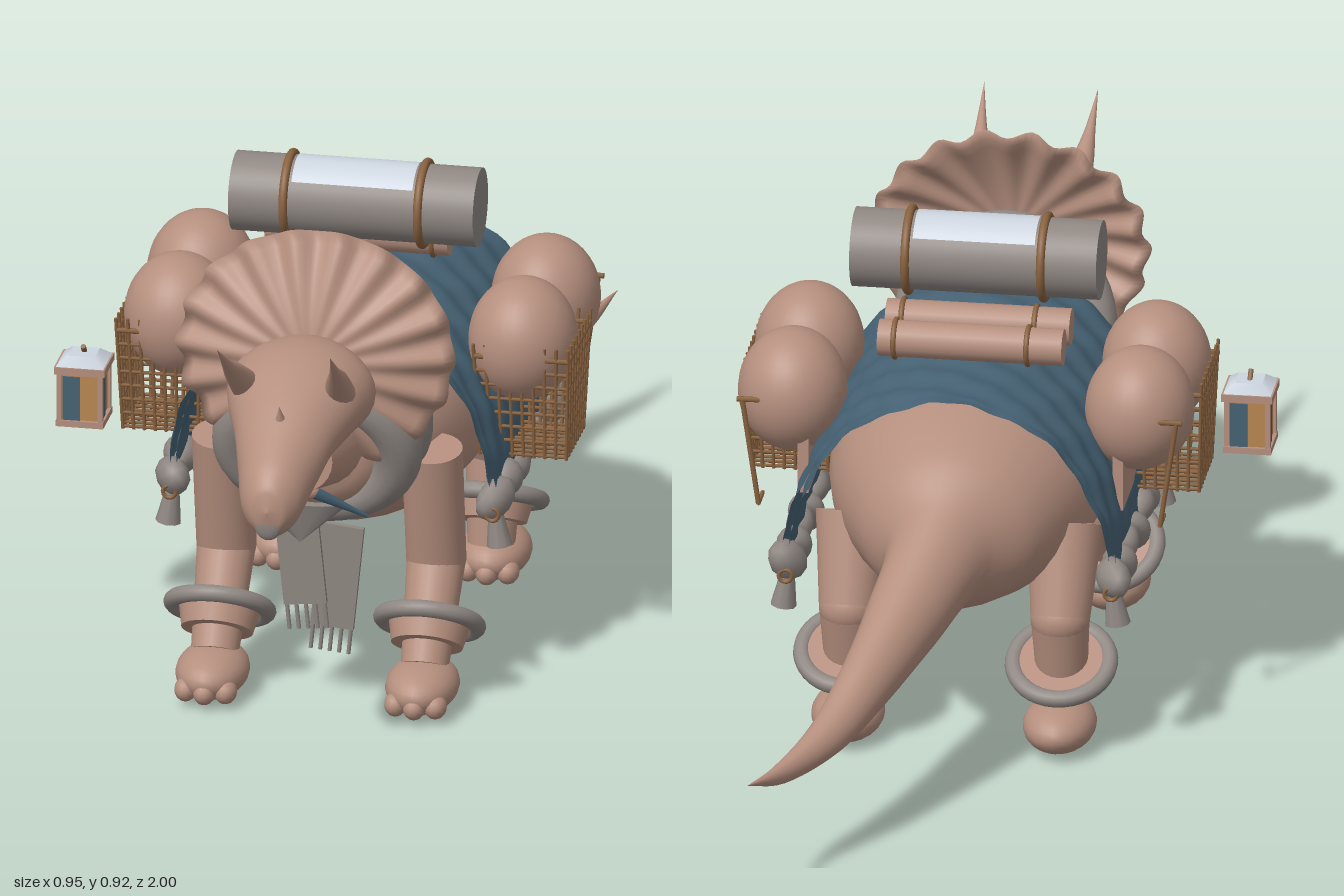
import * as THREE from 'three';

const V = (x, y, z) => new THREE.Vector3(x, y, z);
const CX = 0.05; // centre line of the animal

export function createModel() {
  const root = new THREE.Group();
  const mat = (name, color, side = THREE.FrontSide) => {
    const m = new THREE.MeshStandardMaterial({ color, side });
    m.name = name;
    return m;
  };
  const skin = mat('clay brown skin', 0xb58f7e);
  const blue = mat('blanket blue', 0x466274, THREE.DoubleSide);
  const grey = mat('wool grey', 0x8f8782, THREE.DoubleSide);
  const wicker = mat('wicker brown', 0x8a6340);
  const pale = mat('pale cloth', 0xcdd5df, THREE.DoubleSide);
  const amber = mat('amber glass', 0xb98752);

  const add = (name, geo, m, p = [0, 0, 0], r = [0, 0, 0], s = [1, 1, 1]) => {
    const mesh = new THREE.Mesh(geo, m);
    mesh.name = name;
    mesh.position.set(...p);
    mesh.rotation.set(...r);
    mesh.scale.set(...s);
    root.add(mesh);
    return mesh;
  };
  const ball = (name, m, p, s, seg = 24) =>
    add(name, new THREE.SphereGeometry(1, seg, Math.ceil(seg * 0.7)), m, p, [0, 0, 0], s);
  // tapered rod from a to b
  const rod = (name, m, a, b, ra, rb = ra, seg = 6) => {
    const d = b.clone().sub(a);
    const mesh = add(name, new THREE.CylinderGeometry(rb, ra, d.length(), seg), m);
    mesh.position.copy(a).addScaledVector(d, 0.5);
    mesh.quaternion.setFromUnitVectors(V(0, 1, 0), d.normalize());
    return mesh;
  };
  // skin of closed loops: fn(u, v) gives a point, v wraps around
  const grid = (nu, nv, fn) => {
    const pos = [], idx = [];
    for (let i = 0; i <= nu; i++) for (let j = 0; j < nv; j++) pos.push(...fn(i / nu, j / nv));
    for (let i = 0; i < nu; i++) for (let j = 0; j < nv; j++) {
      const k = (j + 1) % nv, a = i * nv + j, b = i * nv + k, c = a + nv, d = b + nv;
      idx.push(a, b, c, b, d, c);
    }
    const g = new THREE.BufferGeometry();
    g.setAttribute('position', new THREE.Float32BufferAttribute(pos, 3));
    g.setIndex(idx);
    g.computeVertexNormals();
    return g;
  };
  // smooth loft through elliptical sections [x, y, z, rx, ry], back to front
  const loft = (rows, nu = 48, nv = 32) => {
    const path = new THREE.CatmullRomCurve3(rows.map(r => V(r[0], r[1], r[2])), false, 'centripetal');
    const radii = new THREE.CatmullRomCurve3(rows.map(r => V(r[3], r[4], r[2])), false, 'centripetal');
    return grid(nu, nv, (u, v) => {
      const p = path.getPoint(u), q = radii.getPoint(u), a = v * Math.PI * 2;
      return [p.x + Math.max(0, q.x) * Math.cos(a), p.y + Math.max(0, q.y) * Math.sin(a), p.z];
    });
  };

  // body with curved tail
  add('bodyAndTail', loft([
    [0.31, 0.245, -1, 0, 0], [0.265, 0.222, -0.88, 0.018, 0.02], [0.2, 0.245, -0.75, 0.036, 0.037],
    [0.148, 0.3, -0.62, 0.05, 0.058], [0.1, 0.365, -0.47, 0.07, 0.08], [0.06, 0.43, -0.33, 0.095, 0.105],
    [CX, 0.45, -0.25, 0.165, 0.15], [CX, 0.46, -0.1, 0.235, 0.195], [CX, 0.465, 0.1, 0.26, 0.21],
    [CX, 0.47, 0.3, 0.23, 0.19], [CX, 0.48, 0.44, 0.17, 0.14], [CX, 0.5, 0.54, 0.1, 0.09], [CX, 0.51, 0.57, 0, 0],
  ], 72), skin);
  rod('neck', skin, V(CX, 0.52, 0.42), V(CX, 0.54, 0.68), 0.12, 0.06, 24);

  // head with rounded beak
  add('head', loft([
    [CX, 0.67, 0.56, 0, 0], [CX, 0.67, 0.58, 0.09, 0.075], [CX, 0.672, 0.65, 0.135, 0.095],
    [CX, 0.67, 0.73, 0.125, 0.092], [CX, 0.645, 0.82, 0.095, 0.08], [CX, 0.6, 0.9, 0.072, 0.076],
    [CX, 0.568, 0.96, 0.055, 0.068], [CX, 0.56, 0.99, 0.032, 0.042], [CX, 0.56, 1, 0, 0],
  ]), skin);
  ball('beakPatch', grey, [CX, 0.535, 0.983], [0.027, 0.034, 0.012], 16);
  add('noseHorn', new THREE.ConeGeometry(0.014, 0.045, 10), skin, [CX, 0.7, 0.87], [0.35, 0, 0]);

  // scalloped frill, a ribbed dish with a thin rim
  add('frill', grid(24, 144, (u, v) => {
    const t = 1 - Math.abs(2 * u - 1), a = v * Math.PI * 2;
    const wave = Math.cos(18 * a), r = t * (1 + 0.022 * t * wave);
    const z = 0.6 - 0.072 * t * t - 0.022 * t * Math.sin(a) + 0.01 * t * t * wave;
    return [CX + 0.256 * r * Math.cos(a), 0.7 + 0.224 * r * Math.sin(a), z + (u < 0.5 ? -0.03 * (1 - t * 0.7) : 0)];
  }), skin);

  for (const s of [-1, 1]) {
    // brow horns
    const horn = new THREE.CatmullRomCurve3([V(CX + s * 0.085, 0.7, 0.74), V(CX + s * 0.095, 0.755, 0.81),
      V(CX + s * 0.1, 0.79, 0.86), V(CX + s * 0.105, 0.845, 0.93)]);
    add('browHorn', grid(14, 14, (u, v) => {
      const p = horn.getPoint(u), a = v * Math.PI * 2, r = 0.03 * (1 - u);
      return [p.x + r * Math.cos(a), p.y + r * Math.sin(a) * 0.8, p.z - r * Math.sin(a) * 0.6];
    }), skin);

    // legs: hip, knee, ankle as [y, z], then foot centre, cuff centre and thigh radius
    const legs = [
      { name: 'front', hip: [0.48, 0.425], knee: [0.25, 0.385], ankle: [0.08, 0.495], foot: 0.515, cuff: [0.15, 0.448], r: 0.056 },
      { name: 'hind', hip: [0.42, -0.1], knee: [0.26, -0.165], ankle: [0.08, -0.135], foot: -0.17, cuff: [0.165, -0.15], r: 0.07 },
    ];
    for (const L of legs) {
      const x = CX + s * 0.195, at = q => V(x, q[0], q[1]);
      rod(L.name + 'Thigh', skin, at(L.hip), at(L.knee), L.r, 0.055, 24);
      ball(L.name + 'Knee', skin, [x, ...L.knee], [0.055, 0.052, 0.055]);
      rod(L.name + 'Shin', skin, at(L.knee), at(L.ankle), 0.054, 0.044, 24);
      ball(L.name + 'Foot', skin, [x, 0.053, L.foot], [0.067, 0.048, 0.098]);
      for (const k of [-1, 0, 1])
        ball(L.name + 'Toe', skin, [x + k * 0.037, 0.037, L.foot + 0.078 - Math.abs(k) * 0.012], [0.021, 0.023, 0.027], 14);
      // tilted ankle cuff and ring
      const d = L.name === 'front' ? V(0, -0.8, 0.6) : V(0, -0.88, 0.47), c = at(L.cuff);
      rod(L.name + 'Cuff', skin, c.clone().addScaledVector(d, -0.01), c.clone().addScaledVector(d, 0.045), 0.078, 0.066, 28);
      const ring = add(L.name + 'CuffRing', new THREE.TorusGeometry(0.088, 0.016, 12, 36), grey, c.toArray());
      ring.quaternion.setFromUnitVectors(V(0, 0, 1), d.clone().normalize());
    }

    // lumpy wool trim along the blanket hem
    const hx = CX + s * 0.3;
    add('woolTrim', grid(70, 16, (u, v) => {
      const a = v * Math.PI * 2, w = Math.sin(u * 47) + Math.sin(u * 29 + 2);
      const r = (0.025 + 0.005 * w) * Math.min(1, 8 * u, 8 * (1 - u));
      return [hx + r * Math.cos(a), 0.367 + 0.008 * Math.sin(u * 24) + r * 1.1 * Math.sin(a), -0.24 + 0.61 * u];
    }), grey);
    // corner tufts and tassels
    for (const z of [0.36, -0.215]) {
      const tuft = add('cornerTuft', new THREE.IcosahedronGeometry(0.043, 1), grey, [hx, 0.365, z], [0.3, 0, 0.4], [1.1, 0.85, 0.7]);
      tuft.rotation.y = s;
      add('tasselBead', new THREE.TorusGeometry(0.012, 0.004, 8, 14), wicker, [hx, 0.345, z + Math.sign(z) * 0.032]);
      rod('tassel', grey, V(hx, 0.34, z), V(hx + s * 0.008, 0.275, z), 0.013, 0.024, 9);
    }

    // round bundles in the panniers
    const bx = CX + s * 0.32;
    for (const z of [0.2, -0.015]) ball('bundle', skin, [bx, 0.62, z], [0.1, 0.115, 0.108], 32);
    add('innerPanel', new THREE.BoxGeometry(0.02, 0.14, 0.16), skin, [CX + s * 0.29, 0.515, -0.01]);

    // wicker basket: tapered square cage of rods
    const corner = (i, y) => {
      const k = (y - 0.41) / 0.22, hw = 0.08 + 0.008 * k, hz = 0.08 + 0.026 * k;
      const sx = [1, 1, -1, -1][i % 4], sz = [1, -1, -1, 1][i % 4];
      return V(bx + s * 0.012 + s * sx * hw, y, 0.18 + sz * hz);
    };
    for (let i = 0; i < 4; i++) {
      for (let k = 0; k <= 7; k++) {
        const y = 0.415 + k * 0.028;
        if (i !== 2 || k < 6) rod('basketBand', wicker, corner(i, y), corner(i + 1, y), k === 7 ? 0.005 : 0.0032);
      }
      for (let k = 0; k < 8; k++) {
        const f = k / 8, top = i === 2 ? 0.56 : 0.635;
        rod('basketStake', wicker, corner(i, 0.41).lerp(corner(i + 1, 0.41), f), corner(i, top).lerp(corner(i + 1, top), f), 0.0035);
      }
    }
    for (let k = 1; k < 8; k++)
      rod('basketFloor', wicker, corner(0, 0.415).lerp(corner(1, 0.415), k / 8), corner(3, 0.415).lerp(corner(2, 0.415), k / 8), 0.0035);
    // rear carrying hook
    const hk = CX + s * 0.4;
    rod('rearHook', wicker, V(hk, 0.63, -0.105), V(hk - s * 0.03, 0.425, -0.105), 0.005);
    rod('rearHookTop', wicker, V(hk + s * 0.01, 0.63, -0.105), V(hk - s * 0.06, 0.63, -0.105), 0.005);
    rod('rearHookFoot', wicker, V(hk - s * 0.03, 0.425, -0.105), V(hk - s * 0.03, 0.425, -0.05), 0.004);
  }

  // arched saddle blanket with slight wrinkles
  add('blanket', grid(40, 96, (u, v) => {
    const outer = v < 0.5, a = Math.PI * (outer ? v / 0.495 : (1 - v) / 0.5);
    const w = 0.003 * Math.sin(u * 40 + a * 9) + 0.002 * Math.sin(a * 23 - u * 17), o = (outer ? 0 : -0.012) + w;
    return [CX + (0.305 + o) * Math.cos(a), 0.372 + (0.338 + o) * Math.sin(a), -0.235 + 0.615 * u];
  }), blue);

  // log rolls and bedroll strapped on top
  for (const z of [0.047, -0.052]) {
    add('logRoll', new THREE.CylinderGeometry(0.034, 0.034, 0.34, 20), skin, [0.035, 0.745, z], [0, 0, Math.PI / 2]);
    for (const x of [-0.07, 0.175])
      add('logStrap', new THREE.TorusGeometry(0.035, 0.005, 8, 20), wicker, [x, 0.745, z], [0, Math.PI / 2, 0]);
  }
  add('bedroll', new THREE.CylinderGeometry(0.073, 0.073, 0.455, 36), grey, [0.05, 0.843, 0.135], [0, 0, Math.PI / 2]);
  add('bedrollPatch', new THREE.CylinderGeometry(0.0745, 0.0745, 0.225, 24, 1, true, Math.PI / 2 - 0.9, 1.8), pale,
    [0.05, 0.843, 0.135], [0, 0, Math.PI / 2]);
  for (const x of [-0.075, 0.175])
    add('bedrollStrap', new THREE.TorusGeometry(0.076, 0.008, 10, 36), wicker, [x, 0.843, 0.135], [0, Math.PI / 2, 0]);

  // scarf: two wraps, bib point, knot and hanging ends
  add('scarfWrap', new THREE.TorusGeometry(0.17, 0.037, 16, 48), grey, [CX, 0.56, 0.475], [0.28, 0, 0], [1, 1.02, 1]);
  add('scarfLowerWrap', new THREE.TorusGeometry(0.15, 0.045, 16, 48), grey, [CX, 0.51, 0.52], [0.32, 0, 0], [1, 0.85, 1]);
  add('scarfPoint', new THREE.ConeGeometry(0.09, 0.08, 12), grey, [CX - 0.03, 0.36, 0.53], [Math.PI, 0, 0], [1, 1, 0.25]);
  for (const [x, y, h, w, tilt, z] of [[0.02, 0.275, 0.16, 0.08, 0.1, 0.515], [0.085, 0.25, 0.2, 0.08, -0.1, 0.505]]) {
    const end = new THREE.Group();
    end.name = 'scarfEnd';
    end.position.set(x, y, z);
    end.rotation.z = tilt;
    end.add(new THREE.Mesh(new THREE.BoxGeometry(w, h, 0.012), grey));
    for (let k = 0; k < 5; k++) {
      const f = new THREE.Mesh(new THREE.CylinderGeometry(0.004, 0.004, 0.05, 6), grey);
      f.name = 'fringe';
      f.position.set((k - 2) * w * 0.22, -h / 2 - 0.024, 0);
      end.add(f);
    }
    root.add(end);
  }
  ball('neckKnot', skin, [CX, 0.468, 0.645], [0.03, 0.018, 0.02], 16);
  for (const s of [-1, 1])
    rod('neckCord', blue, V(CX + s * 0.02, 0.465, 0.645), V(CX + s * 0.11, 0.408, 0.6), 0.012, 0.003, 8);

  // lantern hanging at the right side
  const lx = -0.43, lz = 0.283;
  add('lanternGlass', new THREE.BoxGeometry(0.074, 0.1, 0.074), amber, [lx, 0.485, lz]);
  for (const r of [0, 1, 2, 3]) {
    const a = r * Math.PI / 2, sn = Math.sin(a), cs = Math.cos(a);
    add('lanternPane', new THREE.BoxGeometry(0.032, 0.085, 0.004), blue,
      [lx + sn * 0.038 - cs * 0.016, 0.485, lz + cs * 0.038 + sn * 0.016], [0, a, 0]);
    add('lanternPost', new THREE.BoxGeometry(0.009, 0.11, 0.009), skin, [lx + (sn + cs) * 0.038, 0.486, lz + (cs - sn) * 0.038]);
  }
  add('lanternBase', new THREE.BoxGeometry(0.088, 0.012, 0.088), skin, [lx, 0.437, lz]);
  add('lanternRim', new THREE.BoxGeometry(0.094, 0.014, 0.094), skin, [lx, 0.54, lz]);
  add('lanternCap', new THREE.CylinderGeometry(0.035, 0.062, 0.016, 4), pale, [lx, 0.555, lz], [0, Math.PI / 4, 0]);
  rod('lanternHandle', wicker, V(lx, 0.555, lz - 0.012), V(lx, 0.577, lz + 0.008), 0.005);
  return root;
}
